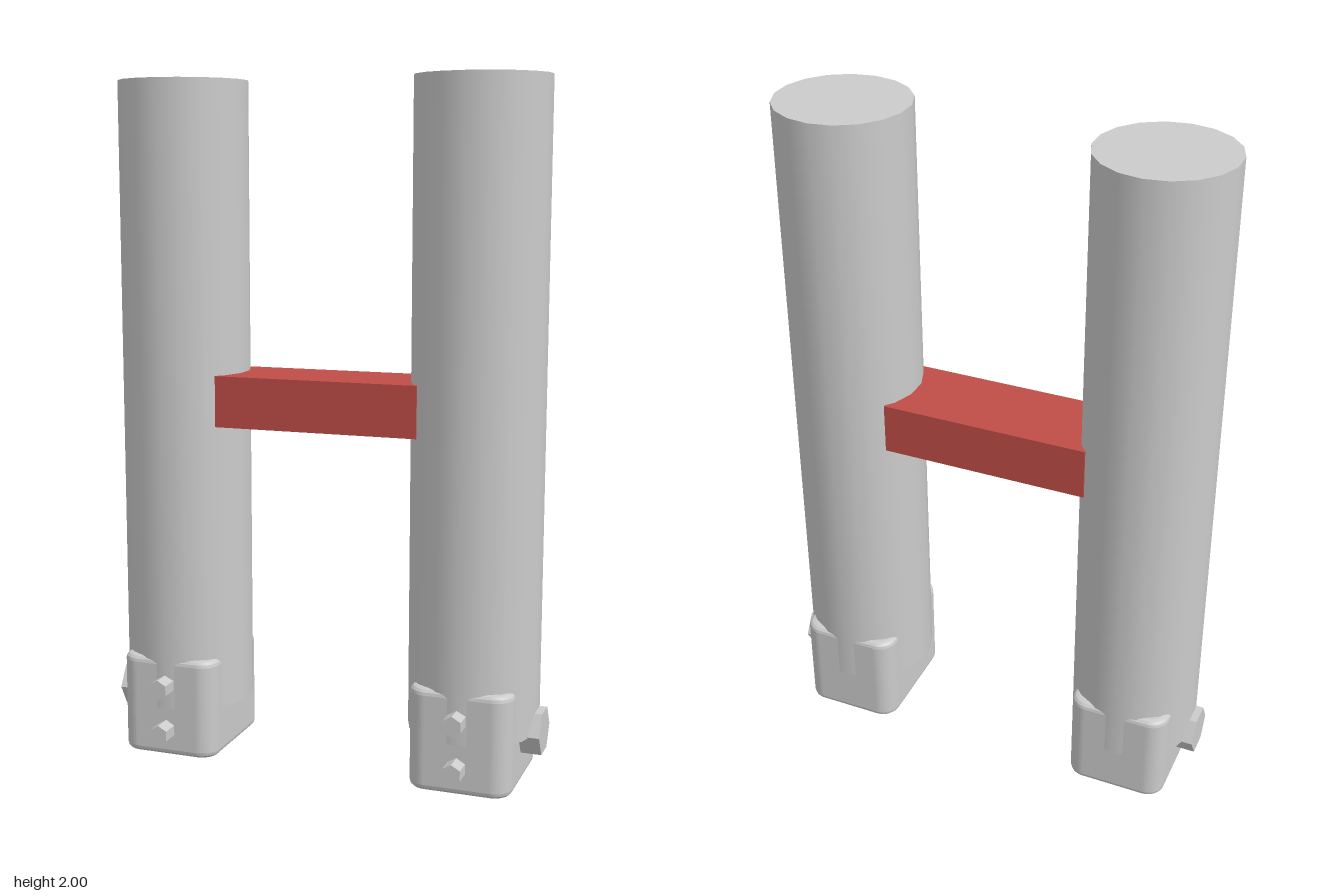
import * as THREE from 'three';

const Z = -0.027; // depth of the leg axes
const grey = new THREE.MeshStandardMaterial({ color: 0xcccccc });
const greyFlat = new THREE.MeshStandardMaterial({ color: 0xcccccc, flatShading: true });
const red = new THREE.MeshStandardMaterial({ color: 0xc04c47 });

function add(parent, name, geometry, material, x, y, z) {
  const mesh = new THREE.Mesh(geometry, material);
  mesh.name = name;
  mesh.position.set(x, y, z);
  parent.add(mesh);
  return mesh;
}

// Block with rounded upright corners and softly bevelled top and bottom rims
function footGeometry(w, h, d, r, bevel) {
  const a = w / 2 - bevel, b = d / 2 - bevel, c = r - bevel;
  const s = new THREE.Shape();
  s.absarc(a - c, b - c, c, 0, Math.PI / 2);
  s.absarc(c - a, b - c, c, Math.PI / 2, Math.PI);
  s.absarc(c - a, c - b, c, Math.PI, Math.PI * 1.5);
  s.absarc(a - c, c - b, c, Math.PI * 1.5, Math.PI * 2);
  s.closePath();
  const g = new THREE.ExtrudeGeometry(s, {
    depth: h - 2 * bevel, bevelEnabled: true, bevelThickness: bevel,
    bevelSize: bevel, bevelSegments: 3, curveSegments: 6,
  });
  return g.rotateX(-Math.PI / 2).translate(0, bevel, 0);
}

function createLeg(side) {
  const leg = new THREE.Group();
  leg.name = side > 0 ? 'leftLeg' : 'rightLeg';
  leg.position.set(side * 0.45, 0, Z);

  add(leg, 'tube', new THREE.CylinderGeometry(0.191, 0.191, 1.85, 18), grey, 0, 1.075, 0);
  add(leg, 'foot', footGeometry(0.3, 0.3, 0.372, 0.055, 0.018), grey, 0, 0.002, 0);

  // Two small hexagonal studs on the front of the foot
  for (const y of [0.083, 0.223]) {
    const stud = new THREE.CylinderGeometry(0.03, 0.03, 0.1, 6).rotateX(-Math.PI / 2);
    add(leg, 'frontStud', stud, greyFlat, 0, y, 0.192);
  }

  // Large hexagonal bolt on the outer side of the ankle
  const bolt = new THREE.CylinderGeometry(0.07, 0.07, 0.1, 6).rotateZ(Math.PI / 2);
  add(leg, 'ankleBolt', bolt, greyFlat, side * 0.16, 0.155, 0);
  return leg;
}

export function createModel() {
  const model = new THREE.Group();
  model.name = 'legs';
  for (const side of [-1, 1]) model.add(createLeg(side));
  // Bar joining the two legs
  add(model, 'crossbar', new THREE.BoxGeometry(0.61, 0.15, 0.25), red, 0, 1.078, Z);
  return model;
}
